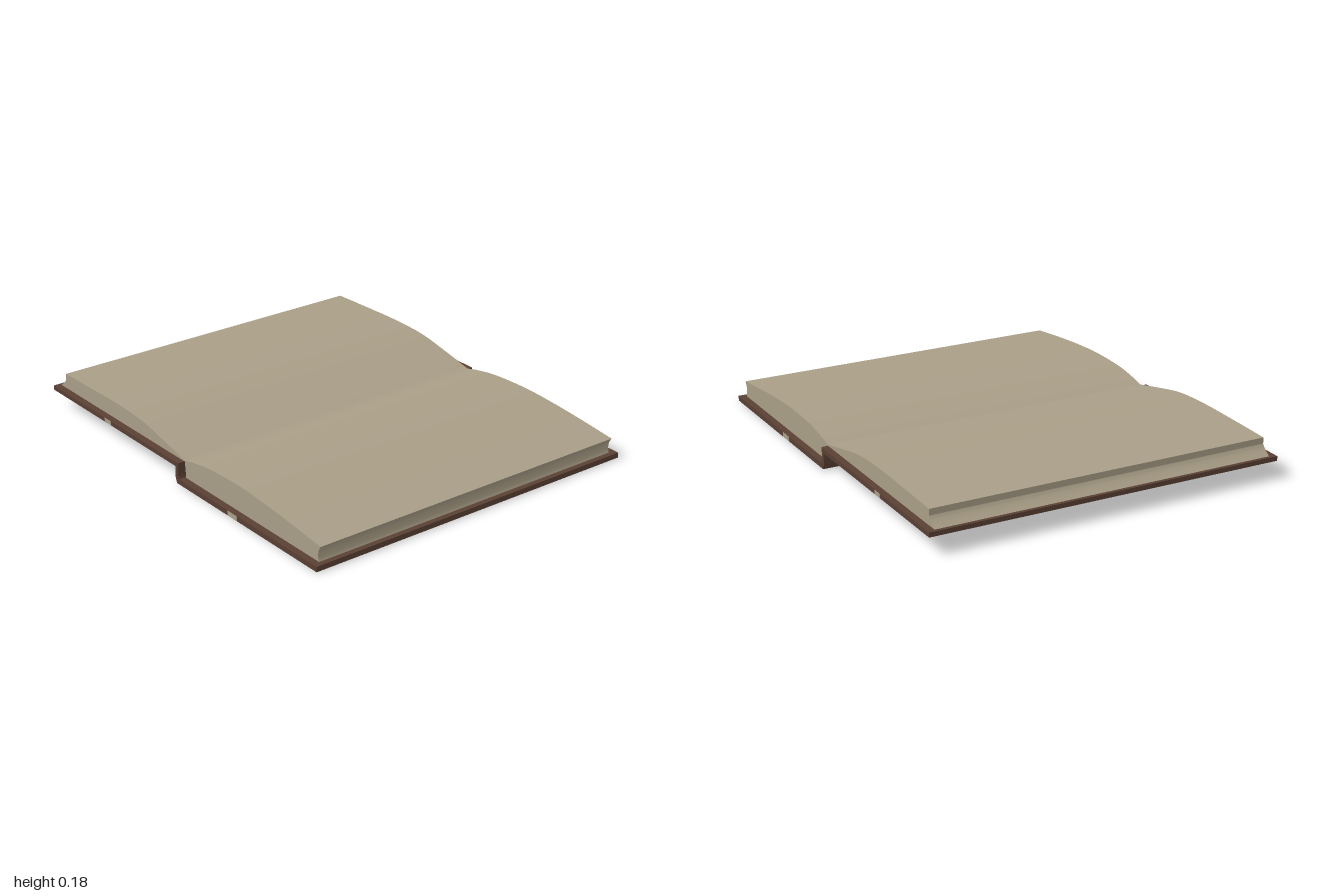
import * as THREE from 'three';
import { toCreasedNormals } from 'three/addons/utils/BufferGeometryUtils.js';

export function createModel() {
  const book = new THREE.Group();
  book.name = 'openBook';
  const paper = new THREE.MeshStandardMaterial({ name: 'paper', color: 0xa99e87 });
  const leather = new THREE.MeshStandardMaterial({ name: 'brownLeather', color: 0x5a4034 });

  // Sweep an x/y outline along z, centred on z = 0
  function sweep(name, shape, halfDepth, material) {
    const geo = new THREE.ExtrudeGeometry(shape, { depth: halfDepth * 2, bevelEnabled: false, curveSegments: 16 });
    geo.translate(0, 0, -halfDepth);
    const mesh = new THREE.Mesh(toCreasedNormals(geo, 0.4), material);
    mesh.name = name;
    book.add(mesh);
  }
  function box(name, x0, x1, y0, y1, z0, z1, material) {
    const mesh = new THREE.Mesh(new THREE.BoxGeometry(x1 - x0, y1 - y0, z1 - z0), material);
    mesh.name = name;
    mesh.position.set((x0 + x1) / 2, (y0 + y1) / 2, (z0 + z1) / 2);
    book.add(mesh);
  }
  const points = (list) => list.map(([x, y]) => new THREE.Vector2(x, y));

  // Cover boards: the right one lies on the ground, the left one is raised by the spine
  box('rightCover', 0.03, 1, 0, 0.024, -0.835, 0.835, leather);
  box('leftCover', -1, 0.03, 0.078, 0.099, -0.835, 0.835, leather);

  // Spine, bowed slightly to the left
  const spine = new THREE.Shape();
  spine.moveTo(0.035, 0);
  spine.lineTo(0.035, 0.024);
  spine.quadraticCurveTo(0.02, 0.05, 0.032, 0.099);
  spine.lineTo(0.02, 0.099);
  spine.quadraticCurveTo(-0.006, 0.04, 0.02, 0);
  sweep('spine', spine, 0.835, leather);

  // Left page block, with a concave fore edge
  const left = new THREE.Shape();
  left.moveTo(0.03, 0.098);
  left.lineTo(-0.985, 0.098);
  left.quadraticCurveTo(-0.945, 0.125, -0.938, 0.142);
  left.lineTo(-0.938, 0.17);
  left.splineThru(points([[-0.75, 0.175], [-0.5, 0.179], [-0.3, 0.17], [-0.13, 0.139], [0.035, 0.103]]));
  sweep('leftPages', left, 0.803, paper);

  // Right page block, arched near the spine
  const right = new THREE.Shape();
  right.moveTo(0.042, 0.023);
  right.lineTo(0.975, 0.023);
  right.quadraticCurveTo(0.957, 0.06, 0.985, 0.096);
  right.splineThru(points([[0.75, 0.122], [0.55, 0.138], [0.4, 0.143], [0.22, 0.136], [0.1, 0.118], [0.035, 0.103]]));
  sweep('rightPages', right, 0.803, paper);

  // Pale patches on the front and back edges of both boards
  for (const side of [-1, 1]) {
    const z = side * 0.835;
    box('leftEdgePatch', -0.555, -0.505, 0.079, 0.098, z - 0.001, z + 0.001, paper);
    box('rightEdgePatch', 0.395, 0.46, 0.001, 0.023, z - 0.001, z + 0.001, paper);
  }
  return book;
}
